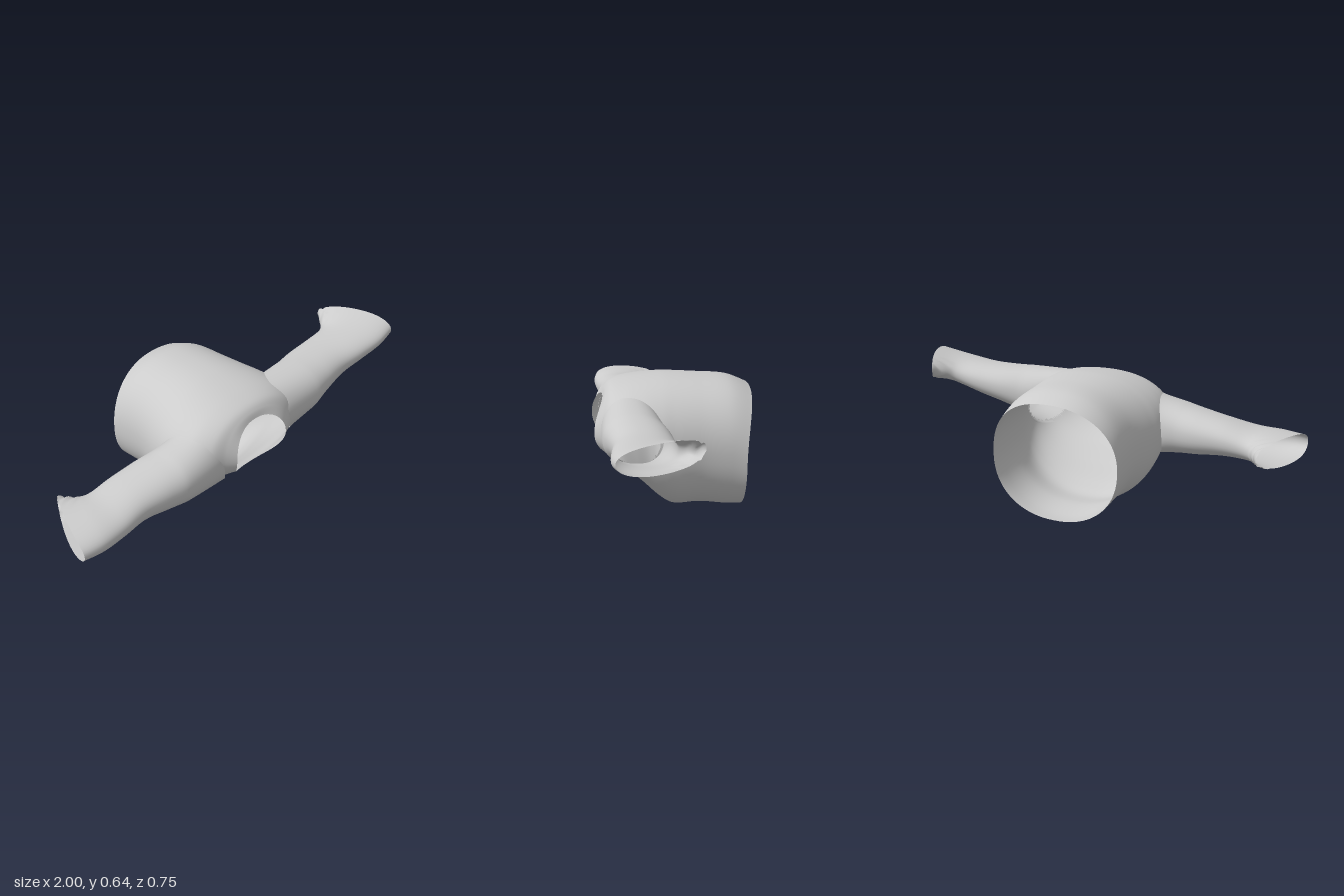
import * as THREE from 'three';

const cloth = new THREE.MeshStandardMaterial({ color: 0xcccccc, side: THREE.DoubleSide });
const { lerp, clamp, smoothstep } = THREE.MathUtils;

// Smoothly interpolate a table of cross-section rows at t in 0..1
function rowAt(rows, t) {
  const f = t * (rows.length - 1);
  const i = Math.min(Math.floor(f), rows.length - 2);
  const u = f - i;
  const pick = (k) => rows[clamp(k, 0, rows.length - 1)];
  return rows[i].map((b, c) => {
    const a = pick(i - 1)[c], d = pick(i + 1)[c], e = pick(i + 2)[c];
    return b + 0.5 * u * (d - a + u * (2 * a - 5 * b + 4 * d - e + u * (3 * (b - d) + e - a)));
  });
}

// Open tube from point(t, angle); faces for which skip(centre) is true are left out
function loft(name, point, steps, sides, flip, skip) {
  const pts = [], index = [];
  for (let i = 0; i <= steps; i++)
    for (let j = 0; j < sides; j++) pts.push(point(i / steps, (j / sides) * Math.PI * 2));
  const face = (a, b, c) => {
    const mid = pts[a].clone().add(pts[b]).add(pts[c]).divideScalar(3);
    if (!skip || !skip(mid)) index.push(a, flip ? c : b, flip ? b : c);
  };
  for (let i = 0; i < steps; i++)
    for (let j = 0; j < sides; j++) {
      const a = i * sides + j, b = i * sides + ((j + 1) % sides);
      face(a, b, a + sides);
      face(b, b + sides, a + sides);
    }
  const geo = new THREE.BufferGeometry().setFromPoints(pts);
  geo.setIndex(index);
  geo.computeVertexNormals();
  const mesh = new THREE.Mesh(geo, cloth);
  mesh.name = name;
  return mesh;
}

// Rounded outline slightly fuller than an ellipse
const POWER = 2.2;
const full = (v) => Math.sign(v) * Math.pow(Math.abs(v), 2 / POWER);

// Torso rows, hem to neckline: z at bottom, middle, top; x right, left; y bottom, top
const torsoRows = [
  [-0.32, -0.32, -0.375, -0.31, 0.335, 0.003, 0.58],
  [-0.25, -0.25, -0.27, -0.31, 0.335, 0.003, 0.622],
  [-0.12, -0.12, -0.12, -0.315, 0.34, 0.02, 0.635],
  [0, 0, 0, -0.345, 0.36, 0.02, 0.64],
  [0.07, 0.07, 0.07, -0.36, 0.37, 0.063, 0.638],
  [0.15, 0.15, 0.15, -0.36, 0.37, 0.145, 0.63],
  [0.22, 0.24, 0.22, -0.34, 0.35, 0.212, 0.618],
  [0.27, 0.31, 0.28, -0.28, 0.29, 0.247, 0.6],
  [0.285, 0.345, 0.31, -0.21, 0.215, 0.258, 0.575],
  [0.29, 0.372, 0.325, -0.162, 0.162, 0.265, 0.545],
];

function torsoPoint(t, a) {
  const [zb, zm, zt, xr, xl, yb, yt] = rowAt(torsoRows, t);
  const c = full(Math.cos(a)), v = full(Math.sin(a));
  const z = lerp(zm, v > 0 ? zt : zb, v * v);
  return new THREE.Vector3((xl + xr) / 2 + (c * (xl - xr)) / 2, (yb + yt) / 2 + (v * (yt - yb)) / 2, z);
}

// x of the torso surface at (y, z) on one side
function torsoX(side, y, z) {
  let lo = 0, hi = 1;
  for (let k = 0; k < 20; k++) {
    const m = (lo + hi) / 2;
    if (rowAt(torsoRows, m)[1] < z) lo = m; else hi = m;
  }
  const [, , , xr, xl, yb, yt] = rowAt(torsoRows, lo);
  const v = clamp(Math.abs((2 * y - yb - yt) / (yt - yb)), 0, 0.93);
  return (xl + xr) / 2 + (side * (xl - xr) / 2) * Math.pow(1 - Math.pow(v, POWER), 1 / POWER);
}

// Sleeve rows, shoulder to cuff: x at front, x at back, z back, z front
const sleeveRun = [
  [0.35, 0.35, 0.07, 0.34],
  [0.42, 0.42, 0.06, 0.345],
  [0.52, 0.52, 0.048, 0.33],
  [0.65, 0.65, 0.045, 0.314],
  [0.78, 0.76, 0.042, 0.325],
  [0.9, 0.81, 0.015, 0.332],
  [1, 0.86, -0.05, 0.32],
];
// Bottom and top heights of each sleeve along the same rows
const sleeveHeights = {
  1: [[0.295, 0.59], [0.345, 0.586], [0.388, 0.584], [0.425, 0.587], [0.46, 0.597], [0.485, 0.612], [0.505, 0.635]],
  '-1': [[0.235, 0.53], [0.255, 0.498], [0.267, 0.478], [0.284, 0.455], [0.284, 0.43], [0.281, 0.425], [0.285, 0.42]],
};
const sleeveRows = (side) => sleeveRun.map((r, i) => [...r, ...sleeveHeights[side][i]]);

function sleeve(side) {
  const rows = sleeveRows(side);
  return loft(side > 0 ? 'leftSleeve' : 'rightSleeve', (t, a) => {
    const [xf, xb, zb, zf, yb, yt] = rowAt(rows, t);
    const z = (zb + zf) / 2 + (full(Math.cos(a)) * (zf - zb)) / 2;
    const y = (yb + yt) / 2 + (full(Math.sin(a)) * (yt - yb)) / 2;
    // Slanted cuff, seam following the torso at the shoulder
    let x = side * lerp(xf, xb, Math.pow(clamp((zf - z) / (zf - zb), 0, 1), 1.5));
    x = lerp(torsoX(side, y, z) - side * 0.006, x, smoothstep(t * 6, 0, 1.1));
    // Small gathers at the back of the cuff
    const gather = smoothstep(t, 0.72, 0.95) * smoothstep(-Math.cos(a), 0.3, 1);
    return new THREE.Vector3(x, y + 0.007 * gather * Math.sin(z * 150 + x * 60), z);
  }, 48, 48, side > 0);
}

// True inside a sleeve's armhole
function inArmhole(p) {
  if (Math.abs(p.x) < 0.15) return false;
  const [, , zb, zf, yb, yt] = sleeveRows(Math.sign(p.x))[0];
  const u = Math.abs((2 * p.z - zb - zf) / (zf - zb));
  const v = Math.abs((2 * p.y - yb - yt) / (yt - yb));
  return Math.pow(u, POWER) + Math.pow(v, POWER) < 0.78;
}

export function createModel() {
  const group = new THREE.Group();
  group.name = 'shirt';
  group.add(loft('torso', torsoPoint, 90, 96, false, inArmhole), sleeve(1), sleeve(-1));
  return group;
}
